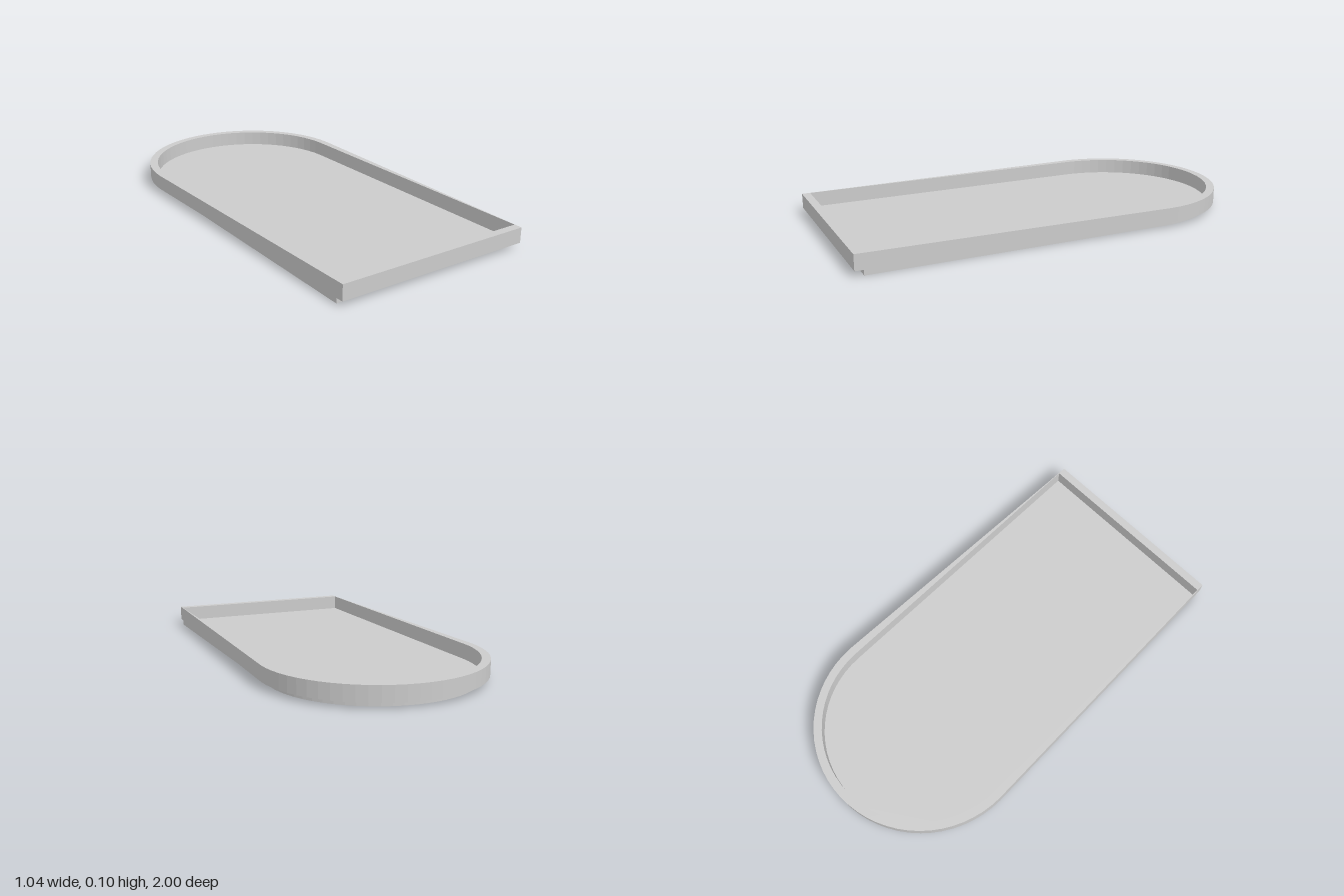
import * as THREE from 'three';

const ARC_Z = -0.482; // centre of the rounded end

// Arch outline: straight front edge, sides, half-round back (shape y = -z)
function trace(path, radius, frontHalf, frontZ) {
  path.moveTo(-frontHalf, -frontZ);
  path.lineTo(frontHalf, -frontZ);
  path.lineTo(radius, -ARC_Z);
  path.absarc(0, -ARC_Z, radius, 0, Math.PI, false);
  path.closePath();
  return path;
}

// Extrude an outline upwards from y = bottom to y = top
function slab(name, shape, bottom, top, material) {
  const geometry = new THREE.ExtrudeGeometry(shape, {
    depth: top - bottom, bevelEnabled: false, curveSegments: 16,
  });
  geometry.rotateX(-Math.PI / 2);
  geometry.translate(0, bottom, 0);
  const mesh = new THREE.Mesh(geometry, material);
  mesh.name = name;
  return mesh;
}

export function createModel() {
  const group = new THREE.Group();
  group.name = 'archedTray';
  const material = new THREE.MeshStandardMaterial({ color: 0xcccccc, flatShading: true });

  // Floor panel with parallel sides
  const floor = trace(new THREE.Shape(), 0.479, 0.479, 0.961);
  group.add(slab('floorPanel', floor, 0, 0.025, material));

  // Raised rim whose side walls taper to nothing towards the front corners
  const rim = trace(new THREE.Shape(), 0.518, 0.48, 1);
  rim.holes.push(trace(new THREE.Path(), 0.479, 0.479, 0.961));
  group.add(slab('rim', rim, 0.025, 0.097, material));

  return group;
}
